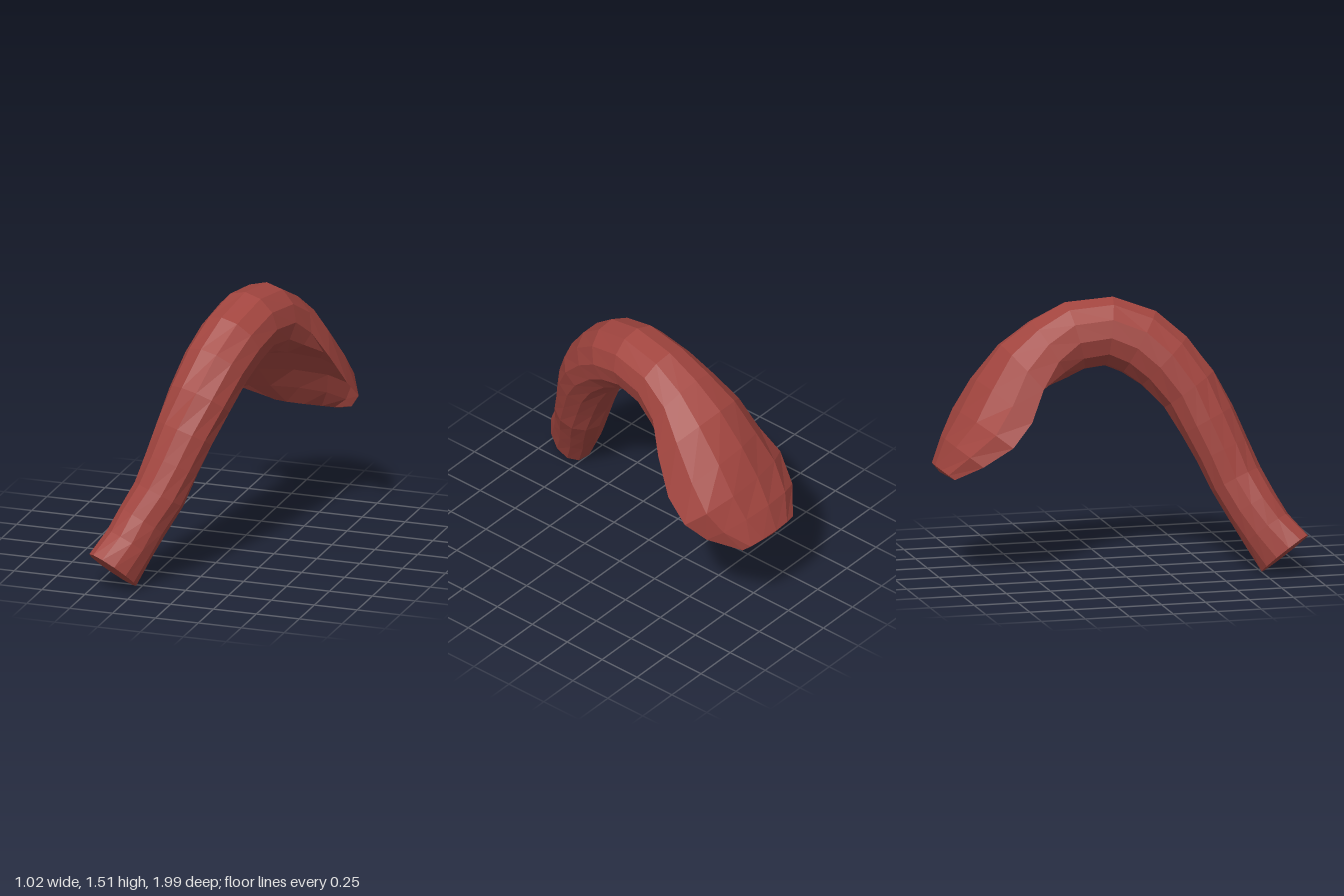
import * as THREE from 'three';

const SIDES = 12;

// Cross-sections along the limb:
// [x, y, z, half width, crown height, rim drop, underside depth]
const SECTIONS = [
  [-0.385, 0.12, 0.865, 0.125, 0.172, 0, 0.172],
  [-0.32, 0.25, 0.775, 0.135, 0.15, 0, 0.15],
  [-0.265, 0.37, 0.71, 0.142, 0.147, 0, 0.148],
  [-0.195, 0.51, 0.64, 0.155, 0.147, 0, 0.148],
  [-0.145, 0.67, 0.572, 0.167, 0.15, 0, 0.15],
  [-0.095, 0.83, 0.5, 0.18, 0.16, 0, 0.16],
  [-0.04, 1.0, 0.41, 0.188, 0.172, 0, 0.172],
  [0.01, 1.155, 0.28, 0.19, 0.188, 0, 0.185],
  [0.055, 1.26, 0.15, 0.19, 0.197, 0, 0.195],
  [0.09, 1.32, -0.01, 0.19, 0.195, 0, 0.193],
  [0.115, 1.3, -0.2, 0.2, 0.197, 0, 0.195],
  [0.12, 1.23, -0.35, 0.235, 0.187, 0.03, 0.18],
  [0.125, 1.13, -0.5, 0.3, 0.18, 0.1, 0.08],
  [0.12, 0.98, -0.65, 0.355, 0.15, 0.155, 0.03],
  [0.1, 0.84, -0.77, 0.395, 0.112, 0.135, 0.03],
  [0.1, 0.71, -0.87, 0.33, 0.088, 0.1, 0.04],
  [0.1, 0.59, -0.96, 0.205, 0.045, 0.035, 0.045],
];

// Skin running from the round flat end to the cupped paddle
function limbGeometry() {
  const centres = SECTIONS.map((s) => new THREE.Vector3(s[0], s[1], s[2]));
  const last = centres.length - 1;
  const positions = [];
  const index = [];
  const up = new THREE.Vector3(0, 1, 0);
  const tangents = centres.map((c, i) =>
    centres[Math.min(i + 1, last)].clone().sub(centres[Math.max(i - 1, 0)]).normalize());

  SECTIONS.forEach(([, , , width, crown, drop, under], i) => {
    const side = tangents[i].clone().cross(up).normalize();
    const normal = side.clone().cross(tangents[i]);
    for (let j = 0; j < SIDES; j++) {
      const a = (j / SIDES) * Math.PI * 2;
      const s = Math.sin(a);
      // The paddle rim hangs a little lower on its left side
      const rim = -drop * (1 + 0.22 * Math.cos(a));
      const height = rim + (s > 0 ? (crown - rim) * s : (under + rim) * s);
      const p = centres[i].clone()
        .addScaledVector(side, width * Math.cos(a))
        .addScaledVector(normal, height);
      positions.push(p.x, p.y, p.z);
    }
  });

  for (let i = 0; i < last; i++) {
    for (let j = 0; j < SIDES; j++) {
      const k = (j + 1) % SIDES;
      const a = i * SIDES + j, b = i * SIDES + k;
      const c = a + SIDES, d = b + SIDES;
      index.push(a, c, b, b, c, d);
    }
  }

  // Slightly dished shoulder end and closed paddle tip
  const dish = centres[0].clone().addScaledVector(tangents[0], 0.015);
  const tip = centres[last].clone().addScaledVector(tangents[last], 0.015);
  const h = positions.length / 3;
  positions.push(dish.x, dish.y, dish.z, tip.x, tip.y, tip.z);
  for (let j = 0; j < SIDES; j++) {
    const k = (j + 1) % SIDES;
    index.push(h, j, k, h + 1, last * SIDES + k, last * SIDES + j);
  }

  const geometry = new THREE.BufferGeometry();
  geometry.setAttribute('position', new THREE.Float32BufferAttribute(positions, 3));
  geometry.setIndex(index);
  geometry.computeVertexNormals();
  return geometry;
}

export function createModel() {
  const group = new THREE.Group();
  group.name = 'curvedLimb';
  const skin = new THREE.MeshStandardMaterial({ color: 0xa2453f, flatShading: true });
  skin.name = 'brick red';
  const limb = new THREE.Mesh(limbGeometry(), skin);
  limb.name = 'limbWithPaddle';
  group.add(limb);
  return group;
}
